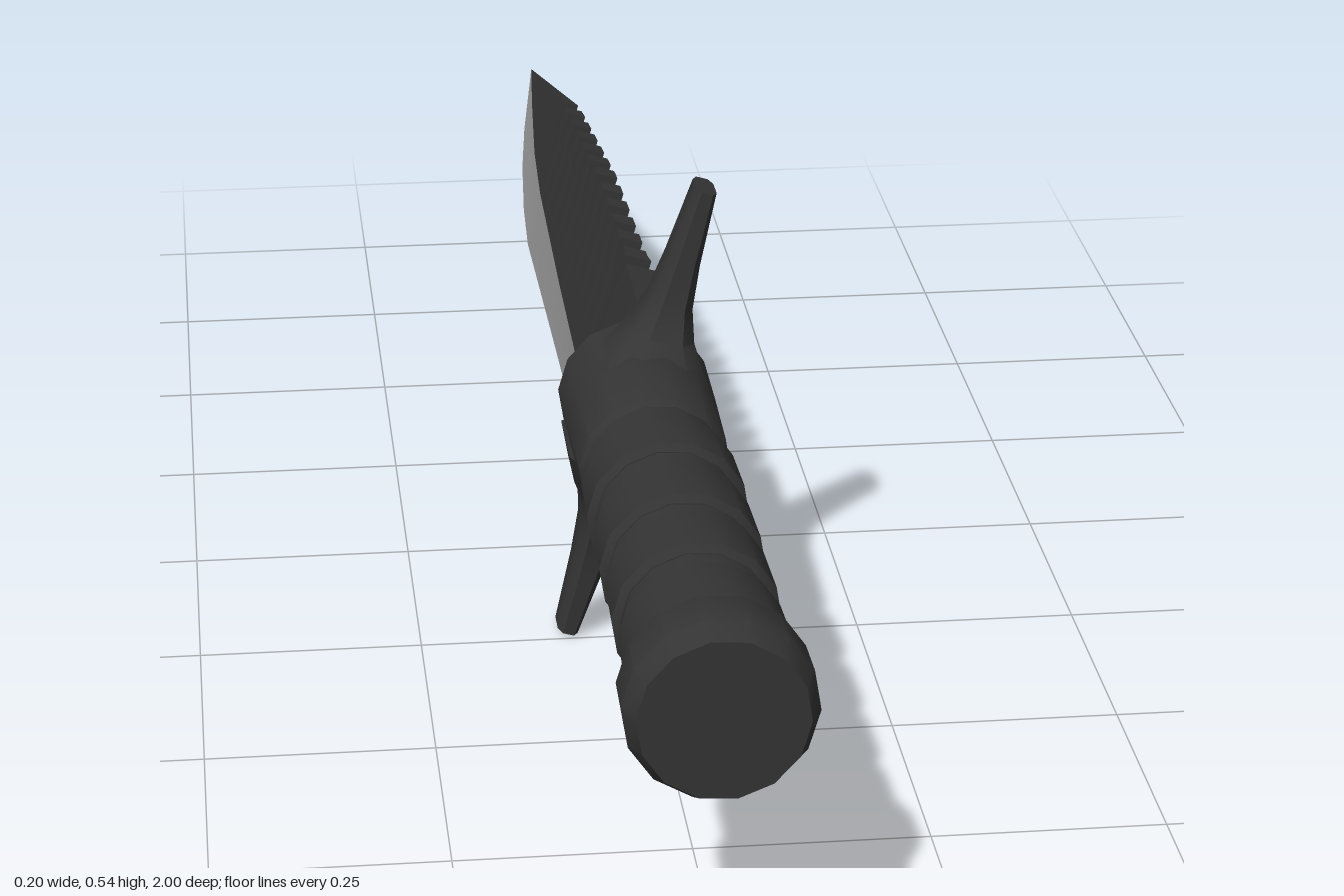
import * as THREE from 'three';
import { toCreasedNormals } from 'three/addons/utils/BufferGeometryUtils.js';

const ROLL = 0.285;   // the knife is rolled about its length
const AXIS_Y = 0.266; // height of the long axis

// Linear lookup in a table of [z, value] rows with falling z
function lookup(table, z) {
  for (let i = 1; i < table.length; i++) {
    const [z0, a] = table[i - 1], [z1, b] = table[i];
    if (z >= z1) return a + (b - a) * Math.min(1, Math.max(0, (z0 - z) / (z0 - z1)));
  }
  return table[table.length - 1][1];
}

// Closed skin over rings of [x, y, z], counter-clockwise seen from the first ring's end
function skin(rings, crease) {
  const n = rings[0].length, index = [];
  rings.slice(1).forEach((_, i) => {
    for (let j = 0; j < n; j++) {
      const a = i * n + j, b = i * n + (j + 1) % n;
      index.push(a, a + n, b, b, a + n, b + n);
    }
  });
  const last = (rings.length - 1) * n;
  for (let j = 1; j < n - 1; j++) index.push(0, j, j + 1, last, last + j + 1, last + j);
  const g = new THREE.BufferGeometry();
  g.setAttribute('position', new THREE.Float32BufferAttribute(rings.flat(2), 3));
  g.setIndex(index);
  return toCreasedNormals(g, crease);
}

// Turned part along z from [z, radius] rows
function turned(rows) {
  const g = new THREE.LatheGeometry(rows.map(([z, r]) => new THREE.Vector2(r, z)), 14);
  g.rotateX(Math.PI / 2);
  g.translate(0, 0.01, 0);
  return toCreasedNormals(g, 0.6);
}

export function createModel() {
  const black = new THREE.MeshStandardMaterial({ color: 0x343434 });
  black.name = 'black';
  const steel = new THREE.MeshStandardMaterial({ color: 0x9c9c9c });
  steel.name = 'steel';

  const model = new THREE.Group();
  model.name = 'knife';
  const body = new THREE.Group();
  body.name = 'rolledKnife';
  body.rotation.z = -ROLL;
  body.position.set(-0.004, AXIS_Y, 0);
  model.add(body);
  const add = (name, geometry, material) => {
    const m = new THREE.Mesh(geometry, material);
    m.name = name;
    body.add(m);
    return m;
  };

  // Pommel
  add('pommel', turned([[0.885, 0], [0.895, 0.082], [0.92, 0.097], [0.975, 0.098], [1, 0.086], [1, 0]]), black);

  // Grip: four bands over a thinner core
  add('gripCore', turned([[0.4, 0], [0.4, 0.078], [0.9, 0.078], [0.9, 0]]), black);
  for (const [z0, z1] of [[0.45, 0.53], [0.575, 0.66], [0.695, 0.78], [0.82, 0.9]]) {
    add('gripBand', turned([[z0 - 0.006, 0], [z0 - 0.006, 0.079], [z0, 0.085],
      [z1, 0.087], [z1 + 0.006, 0.079], [z1 + 0.006, 0]]), black);
  }

  // Collar between grip and guard
  add('collar', turned([[0.19, 0], [0.19, 0.086], [0.3, 0.085], [0.405, 0.083], [0.415, 0.077], [0.415, 0]]), black);

  // Guard arms: [reach, half width, back z, front z]
  const armRings = [
    [0.03, 0.078, 0.188, 0.37], [0.07, 0.058, 0.188, 0.33], [0.105, 0.035, 0.188, 0.275],
    [0.14, 0.024, 0.19, 0.258], [0.19, 0.018, 0.192, 0.252], [0.276, 0.012, 0.195, 0.247],
  ].map(([v, h, z0, z1]) => {
    const c = h * 0.55, d = (z1 - z0) * 0.22;
    return [[c, v, z0], [h, v, z0 + d], [h, v, z1 - d], [c, v, z1],
      [-c, v, z1], [-h, v, z1 - d], [-h, v, z0 + d], [-c, v, z0]];
  });
  const armGeometry = skin(armRings, 0.7);
  add('guardArmUpper', armGeometry, black);
  add('guardArmLower', armGeometry, black).rotation.z = Math.PI;

  // Blade outlines: heights along z
  const spine = [[0.2, 0.372], [0, 0.37], [-0.3, 0.357], [-0.65, 0.322], [-1, 0.25]];
  const grind = [[0.2, 0.165], [0.151, 0.165], [0.15, 0.188], [0.14, 0.202], [0.1, 0.21], [0.06, 0.203],
    [-0.3, 0.206], [-0.75, 0.216], [-0.9, 0.234], [-1, 0.25]];
  const edge = [[0.15, 0.165], [0.075, 0.165], [0.06, 0.141], [-0.3, 0.135], [-0.65, 0.128],
    [-0.75, 0.139], [-0.85, 0.162], [-0.92, 0.192], [-1, 0.25]];
  const half = [[0.2, 0.02], [0.03, 0.019], [0.01, 0.015], [-0.6, 0.013], [-1, 0.0005]];
  const edgeHalf = [[0.15, 0.014], [0.075, 0.014], [0.06, 0.0006], [-1, 0.0003]];

  // Saw notches cut into the spine: [z, depth]
  const saw = [[0.2, 0]];
  for (let i = 0; i < 12; i++) {
    const z = 0.057 - i * 0.0615;
    saw.push([z, 0], [z - 0.012, 0.033], [z - 0.028, 0.035], [z - 0.03, 0]);
  }
  saw.push([-1, 0]);

  const stations = (...tables) => [...new Set(tables.flat().map((row) => row[0]))].sort((a, b) => b - a);
  const local = (y) => (y - AXIS_Y) / Math.cos(ROLL);
  const ring = (z, y1, h1, y0, h0) => [[h1, y1], [-h1, y1], [-h0, y0], [h0, y0]]
    .map(([x, y]) => [x - 0.006, local(y), z]);

  // Dark upper blade with saw back
  add('bladeBody', skin(stations(spine, grind, half, saw).map((z) => {
    const t = lookup(half, z);
    return ring(z, lookup(spine, z) - lookup(saw, z), t * 0.9, lookup(grind, z), t);
  }), 0.4), black);

  // Ground cutting edge
  add('cuttingEdge', skin(stations(grind, edge, half).filter((z) => z <= 0.15).map((z) =>
    ring(z, lookup(grind, z), lookup(half, z), lookup(edge, z), lookup(edgeHalf, z))), 0.4), steel);

  return model;
}
